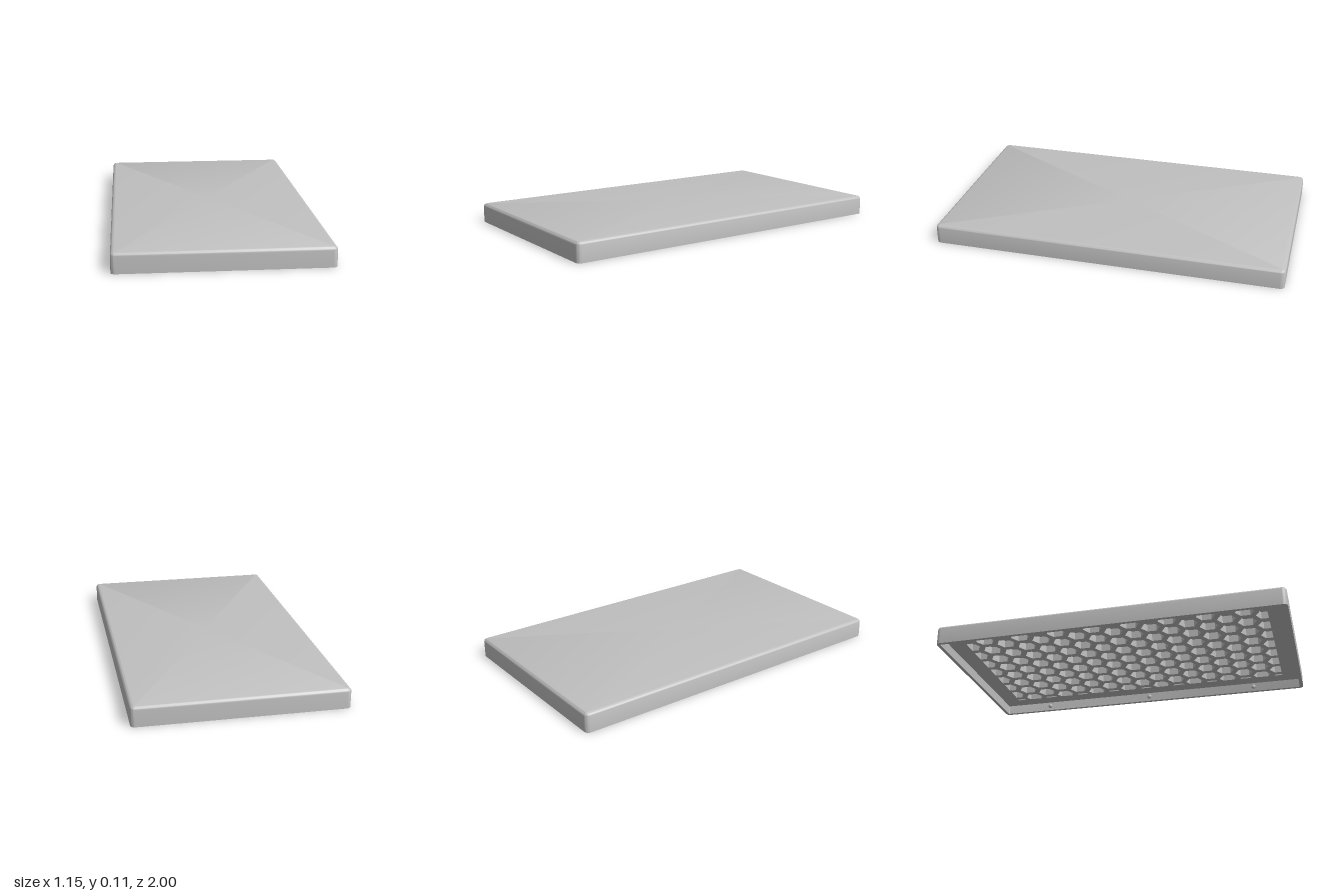
import * as THREE from 'three';
import { toCreasedNormals } from 'three/addons/utils/BufferGeometryUtils.js';

const W = 0.577, D = 1, H = 0.11;      // half width, half depth, height
const WALL = 0.02, ROUND = 0.02;       // rim thickness, edge rounding
const PLATE_Y = 0.055, FLOOR_Y = 0.098; // honeycomb face and pocket floor

// Rounded rectangle outline, inset from the outer edge
function outline(inset) {
  const r = 0.025 - inset, pts = [];
  const corners = [[1, 1], [-1, 1], [-1, -1], [1, -1]];
  corners.forEach(([sx, sz], c) => {
    for (let i = 0; i <= 6; i++) {
      const a = (c + i / 6) * Math.PI / 2;
      pts.push([sx * (W - 0.025) + r * Math.cos(a), sz * (D - 0.025) + r * Math.sin(a)]);
    }
  });
  return pts;
}

// Skin through rings of [inset, y], closed by a flat cap on the last ring
function shellGeometry(rings) {
  const pos = [], idx = [], n = outline(0).length;
  for (const [inset, y] of rings) for (const [x, z] of outline(inset)) pos.push(x, y, z);
  for (let k = 0; k < rings.length - 1; k++) {
    for (let i = 0; i < n; i++) {
      const j = (i + 1) % n, a = k * n + i, b = k * n + j;
      idx.push(a, a + n, b, b, a + n, b + n);
    }
  }
  const last = (rings.length - 1) * n, centre = pos.length / 3;
  pos.push(0, rings[rings.length - 1][1], 0);
  for (let i = 0; i < n; i++) idx.push(last + i, centre, last + (i + 1) % n);
  const g = new THREE.BufferGeometry();
  g.setAttribute('position', new THREE.Float32BufferAttribute(pos, 3));
  g.setIndex(idx);
  return toCreasedNormals(g, 0.6);
}

// Keep the part of a polygon where sign * point[axis] <= limit
function clip(poly, axis, sign, limit) {
  const out = [];
  poly.forEach((p, i) => {
    const q = poly[(i + 1) % poly.length];
    const dp = limit - sign * p[axis], dq = limit - sign * q[axis];
    if (dp >= 0) out.push(p);
    if (dp * dq < 0) {
      const t = dp / (dp - dq);
      out.push([p[0] + t * (q[0] - p[0]), p[1] + t * (q[1] - p[1])]);
    }
  });
  return out;
}

function area(poly) {
  return Math.abs(poly.reduce((s, p, i) => {
    const q = poly[(i + 1) % poly.length];
    return s + p[0] * q[1] - q[0] * p[1];
  }, 0)) / 2;
}

// Plate with hexagonal pockets trimmed to a rectangular field
function honeycombGeometry() {
  const w = W - WALL + 0.005, d = D - WALL + 0.005, fx = 0.47, fz = 0.88;
  const pitch = 0.125, radius = 0.054;
  const shape = new THREE.Shape([[-w, -d], [w, -d], [w, d], [-w, d]].map(p => new THREE.Vector2(...p)));
  for (let row = -9; row <= 9; row++) {
    for (let col = -5; col <= 5; col++) {
      const cx = (col + (row % 2 ? 0.5 : 0)) * pitch, cz = row * pitch * 0.866;
      let poly = [];
      for (let i = 0; i < 6; i++) {
        const a = Math.PI / 6 + i * Math.PI / 3;
        poly.push([cx + radius * Math.cos(a), cz + radius * Math.sin(a)]);
      }
      for (const s of [1, -1]) poly = clip(clip(poly, 0, s, fx), 1, s, fz);
      if (poly.length > 2 && area(poly) > 0.0004) {
        shape.holes.push(new THREE.Path(poly.map(p => new THREE.Vector2(...p))));
      }
    }
  }
  const g = new THREE.ExtrudeGeometry(shape, { depth: FLOOR_Y - PLATE_Y, bevelEnabled: false });
  return g.rotateX(-Math.PI / 2).translate(0, PLATE_Y, 0);
}

export function createModel() {
  const model = new THREE.Group();
  const grey = new THREE.MeshStandardMaterial({ color: 0xc0c0c0 });
  grey.name = 'grey';
  const add = (name, geometry) => {
    const mesh = new THREE.Mesh(geometry, grey);
    mesh.name = name;
    model.add(mesh);
    return mesh;
  };

  // Outer shell: inner wall, rim, outer wall, rounded top edge, top
  const rings = [[WALL, PLATE_Y + 0.005], [WALL, 0], [0, 0]];
  for (let i = 0; i <= 6; i++) {
    const a = i / 6 * Math.PI / 2;
    rings.push([ROUND * (1 - Math.cos(a)), H - ROUND + ROUND * Math.sin(a)]);
  }
  add('shell', shellGeometry(rings));

  // Honeycomb underside and the floor of its pockets
  add('honeycombPlate', honeycombGeometry());
  add('pocketFloor', new THREE.BoxGeometry(1.1, 0.006, 1.94).translate(0, FLOOR_Y + 0.003, 0));

  // Small snap bumps on the long inner walls
  for (const side of [-1, 1]) {
    for (const z of [-0.686, 0, 0.686]) {
      const bump = add('snapBump', new THREE.SphereGeometry(0.014, 16, 10));
      bump.scale.x = 0.6;
      bump.position.set(side * (W - WALL), 0.03, z);
    }
  }
  return model;
}
